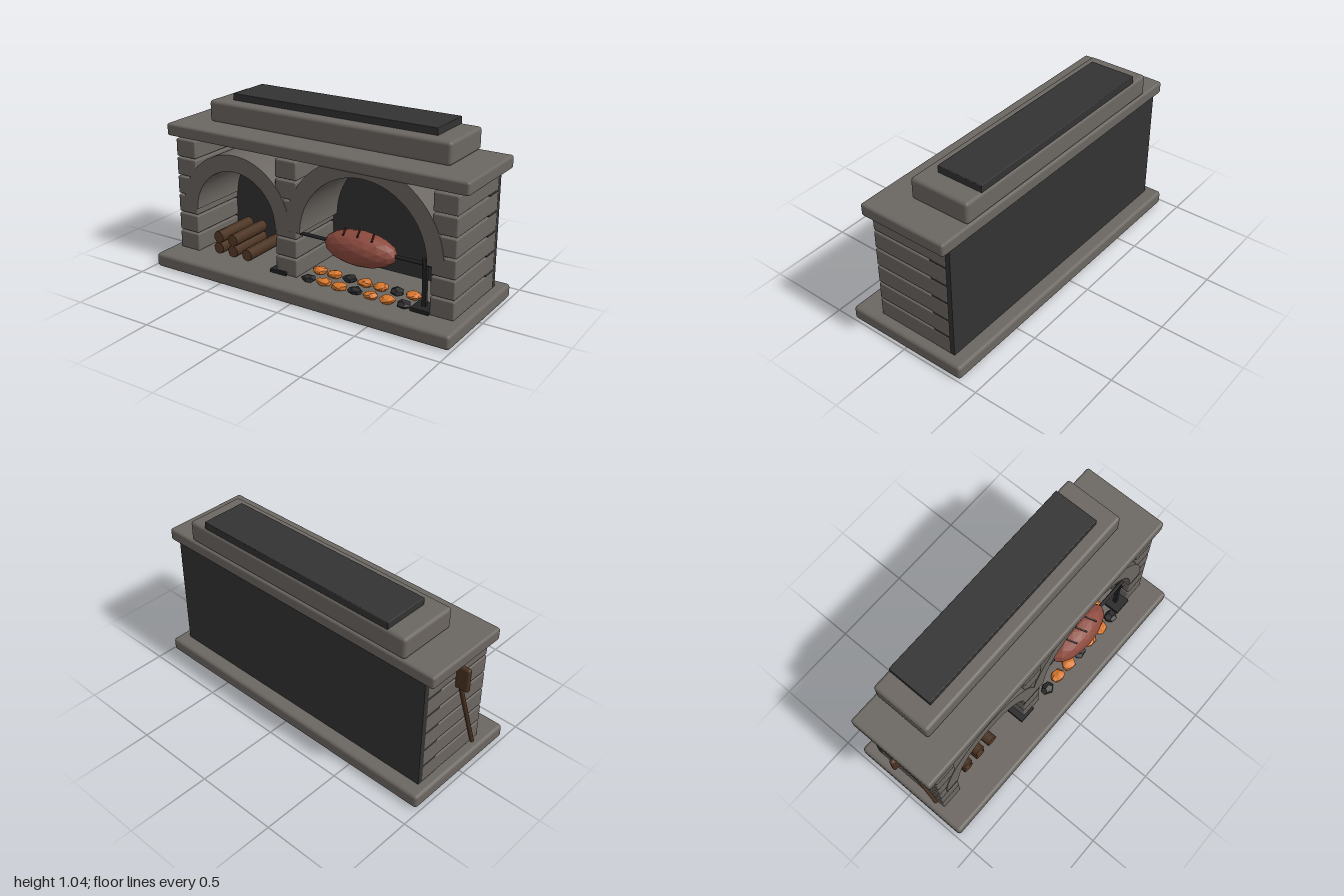
import * as THREE from 'three';
import { RoundedBoxGeometry } from 'three/addons/geometries/RoundedBoxGeometry.js';

export function createModel() {
  const model = new THREE.Group();
  model.name = 'doubleFireplace';

  const mat = (name, color, flatShading = false) => {
    const m = new THREE.MeshStandardMaterial({ color, flatShading });
    m.name = name;
    return m;
  };
  const stone = mat('stone', 0x6b6661);
  const soot = mat('soot', 0x333333);
  const iron = mat('iron', 0x242426);
  const bark = mat('bark', 0x4a3322);
  const cutWood = mat('cutWood', 0x5a3d28);
  const roast = mat('roast', 0x8c4a3e, true);
  const sear = mat('sear', 0x3a1f18);
  const ember = mat('ember', 0xd9782d, true);
  const charcoal = mat('charcoal', 0x2b2b2b, true);

  const add = (name, geo, material, x = 0, y = 0, z = 0, parent = model) => {
    const m = new THREE.Mesh(geo, material);
    m.name = name;
    m.position.set(x, y, z);
    parent.add(m);
    return m;
  };
  // box given by its limits, with rounded edges when r > 0
  const block = (name, material, x0, x1, y0, y1, z0, z1, r = 0, parent = model) => {
    const s = [x1 - x0, y1 - y0, z1 - z0];
    const geo = r ? new RoundedBoxGeometry(...s, 2, r) : new THREE.BoxGeometry(...s);
    return add(name, geo, material, (x0 + x1) / 2, (y0 + y1) / 2, (z0 + z1) / 2, parent);
  };
  // rod between two points
  const rod = (name, material, a, b, r, parent = model) => {
    const p = new THREE.Vector3(...a), q = new THREE.Vector3(...b);
    const m = add(name, new THREE.CylinderGeometry(r, r, p.distanceTo(q), 8), material, 0, 0, 0, parent);
    m.position.addVectors(p, q).multiplyScalar(0.5);
    m.quaternion.setFromUnitVectors(new THREE.Vector3(0, 1, 0), q.sub(p).normalize());
    return m;
  };
  const group = (name) => {
    const g = new THREE.Group();
    g.name = name;
    model.add(g);
    return g;
  };

  // hearth slab, back wall, mantel and hood
  block('hearthSlab', stone, -0.98, 0.99, 0, 0.085, -0.385, 0.385, 0.02);
  block('backWall', soot, -0.922, 0.928, 0.08, 0.80, -0.30, -0.165);
  block('mantel', stone, -0.98, 0.99, 0.79, 0.866, -0.315, 0.235, 0.015);
  block('hood', stone, -0.79, 0.80, 0.865, 0.995, -0.31, 0.062, 0.02);
  block('flueCap', soot, -0.67, 0.68, 0.99, 1.036, -0.302, -0.017, 0.004);

  // three pillars of stacked stones
  for (const [name, x0, x1] of [['rightPillar', -0.923, -0.782], ['middlePillar', -0.205, -0.062], ['leftPillar', 0.788, 0.931]]) {
    const g = group(name);
    for (let i = 0; i < 6; i++) {
      const y = 0.085 + i * 0.117;
      block('pillarStone', stone, x0, x1, y, y + 0.108, -0.272, 0.221, 0.008, g);
    }
  }

  // vaulted arches
  const arch = (name, x, y, r, t) => {
    const s = new THREE.Shape();
    s.absarc(0, 0, r + t, 0, Math.PI, false);
    s.absarc(0, 0, r, Math.PI, 0, true);
    const geo = new THREE.ExtrudeGeometry(s, { depth: 0.391, bevelEnabled: false, curveSegments: 32 });
    add(name, geo, stone, x, y, -0.166);
  };
  arch('smallArch', -0.49, 0.36, 0.285, 0.1);
  arch('largeArch', 0.365, 0.365, 0.4, 0.1);

  // stacked firewood
  const logs = group('firewood');
  for (const [x, y] of [[-0.66, 0.12], [-0.555, 0.12], [-0.45, 0.12], [-0.66, 0.19], [-0.555, 0.19]]) {
    const geo = new THREE.CylinderGeometry(0.036, 0.036, 0.3, 10).rotateX(Math.PI / 2);
    add('log', geo, [bark, cutWood, cutWood], x, y, 0.03, logs);
  }

  // spit with a stand at each end
  const spit = group('spit');
  const sz = 0.175;
  rod('spitRod', iron, [-0.23, 0.348, sz], [0.79, 0.348, sz], 0.011, spit);
  for (const x of [-0.185, 0.735]) {
    block('standFoot', iron, x - 0.057, x + 0.057, 0.085, 0.108, sz - 0.057, sz + 0.06, 0.004, spit);
    block('standPost', iron, x - 0.012, x + 0.012, 0.1, 0.345, sz - 0.011, sz + 0.011, 0, spit);
    for (const d of [-1, 1]) rod('standProng', iron, [x, 0.325, sz + d * 0.008], [x, 0.392, sz + d * 0.028], 0.009, spit);
  }

  // roast with scored top
  add('roast', new THREE.IcosahedronGeometry(1, 2).scale(0.226, 0.1, 0.1), roast, 0.335, 0.345, sz);
  for (const dx of [-0.09, 0, 0.09]) {
    const cut = add('roastScore', new THREE.BoxGeometry(0.009, 0.008, 0.075), sear, 0.335 + dx, 0.442 - dx * dx, sz + 0.025);
    cut.rotation.set(0.2, 0.35, 0);
  }

  // two rows of coals, every third one burnt out
  const coals = group('coals');
  for (let row = 0; row < 2; row++) {
    for (let i = 0; i < 7; i++) {
      const lit = (i + row) % 3 !== 0;
      const geo = lit ? new THREE.IcosahedronGeometry(1, 1) : new THREE.DodecahedronGeometry(1);
      // roughen the lump by a repeating rule
      const p = geo.attributes.position;
      for (let k = 0; k < p.count; k++) {
        const f = 1 + 0.12 * Math.sin(9 * p.getX(k) + 7 * p.getY(k) + 11 * p.getZ(k) + i);
        p.setXYZ(k, p.getX(k) * f, p.getY(k) * f, p.getZ(k) * f);
      }
      geo.rotateY(i * 1.3 + row).scale(0.045, 0.022, 0.038);
      geo.computeVertexNormals();
      add(lit ? 'ember' : 'coal', geo, lit ? ember : charcoal, 0.02 + i * 0.102 - (row ? 0.005 : 0), 0.105, 0.215 - row * 0.12, coals);
    }
  }

  // wooden peel leaning on the side wall
  const peel = group('peel');
  block('peelBlade', bark, -1.0, -0.87, 0.605, 0.755, -0.045, -0.015, 0.013, peel);
  rod('peelHandle', bark, [-0.931, 0.65, -0.025], [-0.931, 0.088, 0.16], 0.012, peel);

  return model;
}
